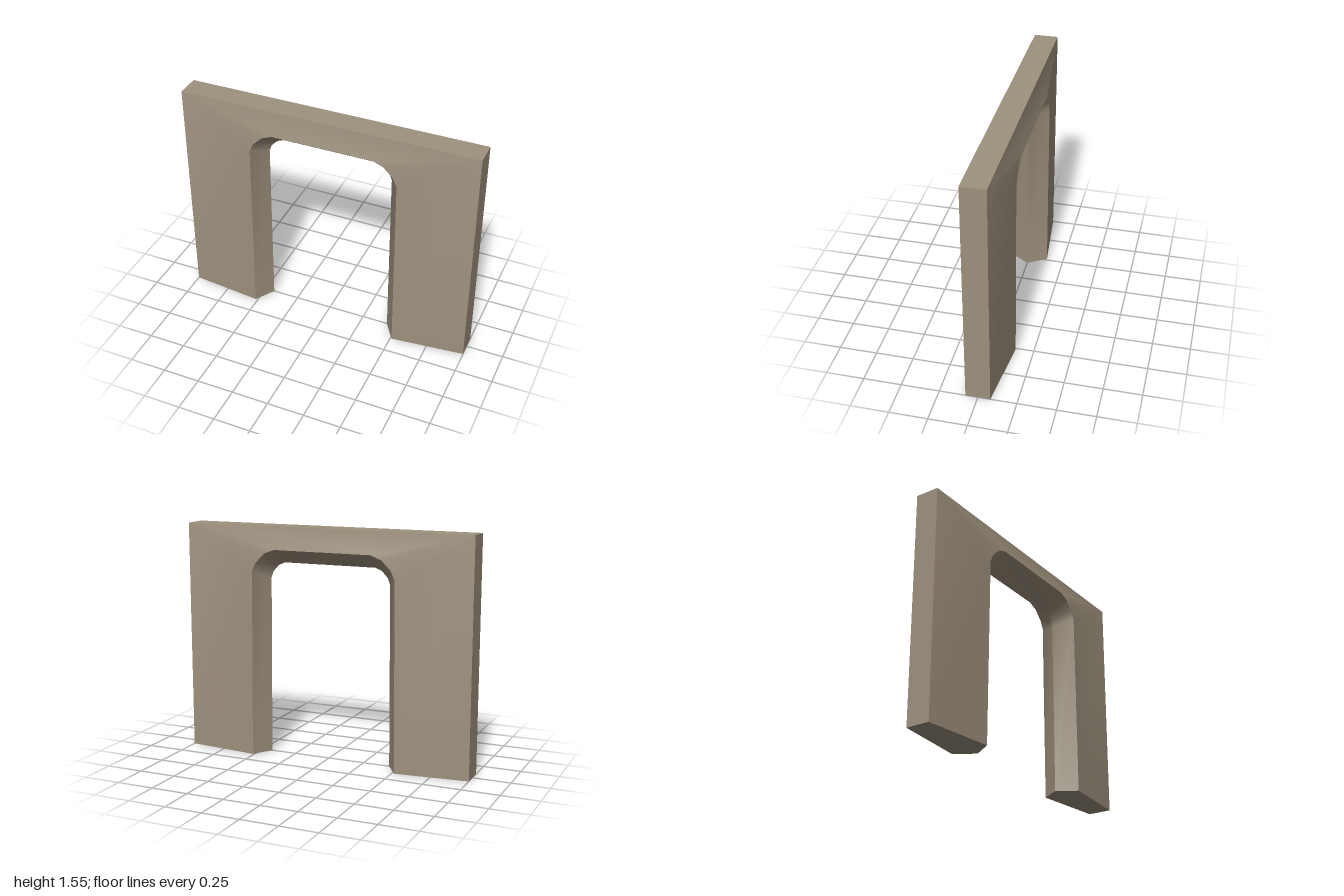
import * as THREE from 'three';
import { toCreasedNormals } from 'three/addons/utils/BufferGeometryUtils.js';

const stone = new THREE.MeshStandardMaterial({ color: 0x9e917e });
stone.name = 'warm stone';

// Half of the opening, from the foot up to the lintel: [outer x, y, ridge x, y, throat x, y]
const half = [
  [1, 0, 0.513, 0, 0.43, 0],
  [1, 1.55, 0.5, 1.254, 0.422, 1.2],
  [1, 1.55, 0.472, 1.313, 0.406, 1.245],
  [1, 1.55, 0.41, 1.374, 0.366, 1.288],
  [1, 1.55, 0.34, 1.402, 0.32, 1.307],
];
const SHIFT = -0.003; // the opening sits a hair off centre
const OUTER_Z = 0.08, RIDGE_Z = 0.13;

// Five-cornered cross-section: thin outer edge, thick ridges, pointed throat
function section([ox, oy, rx, ry, tx, ty], side) {
  const o = side * ox, r = side * rx + SHIFT, t = side * tx + SHIFT;
  return [
    [o, oy, OUTER_Z], [r, ry, RIDGE_Z], [t, ty, 0],
    [r, ry, -RIDGE_Z], [o, oy, -OUTER_Z],
  ].map((p) => new THREE.Vector3(...p));
}

function archGeometry() {
  const sections = [
    ...half.map((h) => section(h, -1)),
    ...[...half].reverse().map((h) => section(h, 1)),
  ];
  const positions = [];
  const triangle = (a, b, c) => {
    if (a.equals(b) || b.equals(c) || a.equals(c)) return; // collapsed at the outer corners
    for (const p of [a, b, c]) positions.push(p.x, p.y, p.z);
  };
  // Skin between neighbouring sections
  for (let i = 0; i < sections.length - 1; i++) {
    for (let k = 0; k < 5; k++) {
      const n = (k + 1) % 5;
      const a = sections[i][k], b = sections[i][n];
      const c = sections[i + 1][n], d = sections[i + 1][k];
      triangle(a, b, c);
      triangle(a, c, d);
    }
  }
  // Undersides of the two feet
  const first = sections[0], last = sections[sections.length - 1];
  for (let k = 1; k < 4; k++) {
    triangle(first[0], first[k + 1], first[k]);
    triangle(last[0], last[k], last[k + 1]);
  }
  const geometry = new THREE.BufferGeometry();
  geometry.setAttribute('position', new THREE.Float32BufferAttribute(positions, 3));
  return toCreasedNormals(geometry, 0.6);
}

export function createModel() {
  const group = new THREE.Group();
  group.name = 'archway';
  const arch = new THREE.Mesh(archGeometry(), stone);
  arch.name = 'doorFrame';
  group.add(arch);
  return group;
}
